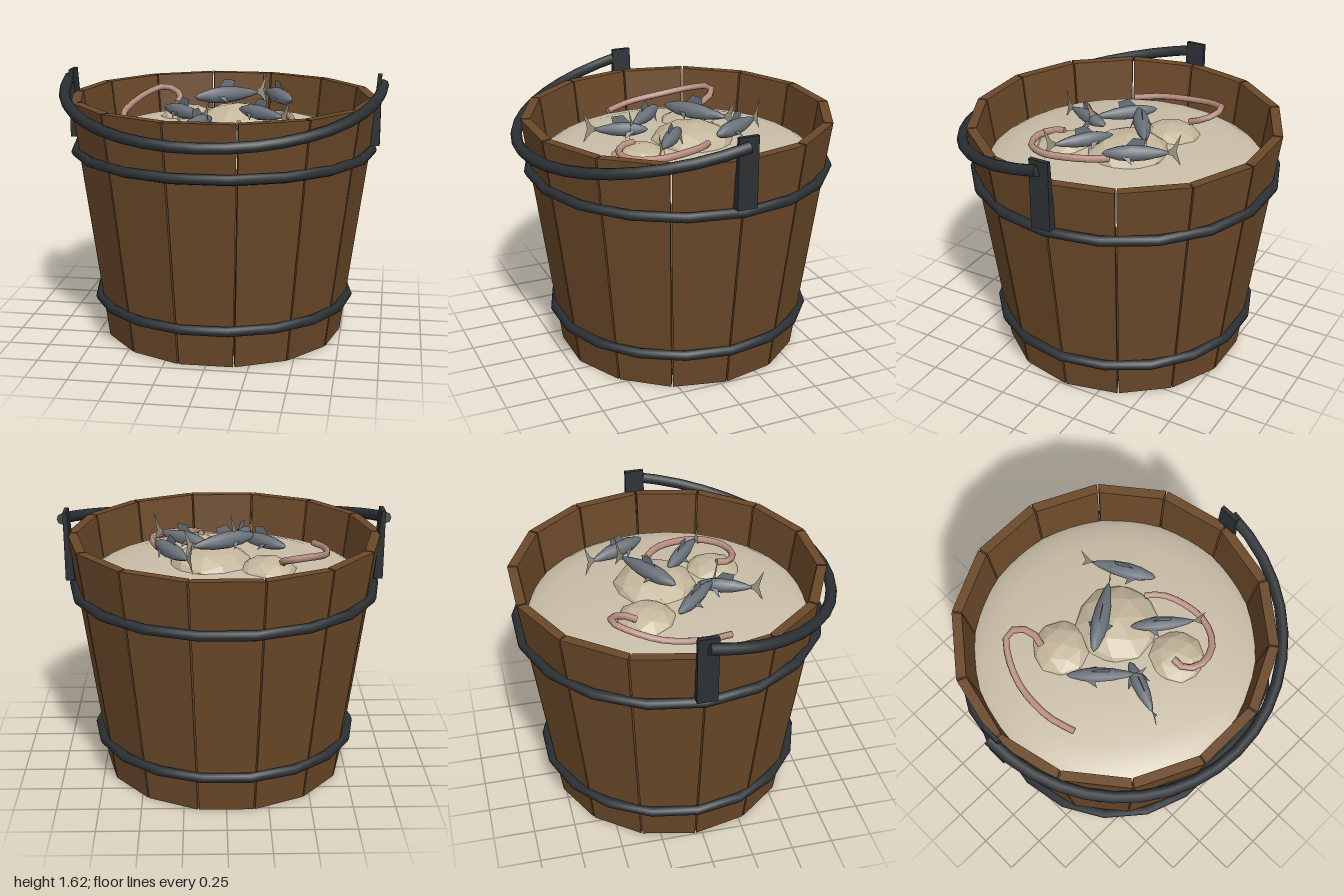
import * as THREE from 'three';

const CZ = -0.04; // bucket axis
const HEIGHT = 1.48;
const STAVES = 14;

const material = (color, extra = {}) => new THREE.MeshStandardMaterial({ color, ...extra });
const wood = material(0x6b4929, { flatShading: true });
const darkWood = material(0x4a321e, { flatShading: true });
const iron = material(0x2b3034);
const mash = material(0xc9bea8, { side: THREE.DoubleSide });
const lumpMat = material(0xc4b79c, { flatShading: true });
const fishMat = material(0x6c737b);
const finMat = material(0x6c737b, { side: THREE.DoubleSide });
const tailMat = material(0x9c9382, { side: THREE.DoubleSide });
const wormMat = material(0xb98f80);

function add(parent, name, geometry, mat) {
  const mesh = new THREE.Mesh(geometry, mat);
  mesh.name = name;
  parent.add(mesh);
  return mesh;
}

// Moves every vertex of a geometry by a rule
function reshape(geometry, rule) {
  const p = geometry.attributes.position;
  const v = new THREE.Vector3();
  for (let i = 0; i < p.count; i++) {
    v.fromBufferAttribute(p, i);
    rule(v);
    p.setXYZ(i, v.x, v.y, v.z);
  }
  geometry.computeVertexNormals();
  return geometry;
}

// Plank that leans outwards and widens to the top
function staveGeometry() {
  return reshape(new THREE.BoxGeometry(1, 1, 1), (v) => {
    const t = v.y + 0.5;
    const r = THREE.MathUtils.lerp(0.725, 0.918, t) - (v.z < 0 ? 0.057 : 0);
    v.set(Math.sign(v.x) * (r * Math.tan(Math.PI / STAVES) - 0.005), t * HEIGHT, r);
  });
}

// Tube along a smooth curve, closed with a cap at both ends
function cappedTube(parent, name, points, segments, radius, sides, mat) {
  const curve = new THREE.CatmullRomCurve3(points);
  const group = new THREE.Group();
  group.name = name;
  add(group, name + 'Body', new THREE.TubeGeometry(curve, segments, radius, sides), mat);
  for (const t of [0, 1]) {
    const cap = add(group, name + 'End', new THREE.CircleGeometry(radius, sides), mat);
    const out = curve.getTangentAt(t).multiplyScalar(t ? 1 : -1);
    cap.position.copy(curve.getPointAt(t));
    cap.quaternion.setFromUnitVectors(new THREE.Vector3(0, 0, 1), out);
  }
  parent.add(group);
}

// Flat fin in the upright plane of a fish
function fin(parent, name, points, mat) {
  const shape = new THREE.Shape(points.map(([x, y]) => new THREE.Vector2(x, y)));
  return add(parent, name, new THREE.ShapeGeometry(shape), mat);
}

// Spindle-shaped fish from nose to tail, given on the ground plan
function fish([x0, z0], [x1, z1], y, radius) {
  const group = new THREE.Group();
  group.name = 'fish';
  const length = Math.hypot(x1 - x0, z1 - z0);
  const h = length / 2;
  const profile = [[0, -1], [0.4, -0.88], [0.85, -0.5], [1, -0.1], [0.85, 0.35], [0.45, 0.8], [0.15, 1], [0, 1]]
    .map(([r, t]) => new THREE.Vector2(r * radius, t * h));
  const body = add(group, 'fishBody', new THREE.LatheGeometry(profile, 8), fishMat);
  body.rotation.z = -Math.PI / 2;
  fin(group, 'tailFin', [[h - 0.03, 0], [h + 0.02, 0.03], [h + 0.07, 0.12], [h + 0.045, 0.01],
    [h + 0.07, -0.08], [h + 0.02, -0.02]], tailMat);
  fin(group, 'backFin', [[-0.06, radius * 0.8], [-0.01, radius + 0.045], [0.06, radius + 0.035],
    [0.05, radius * 0.8]], finMat);
  for (const side of [-1, 1]) {
    const f = fin(group, 'sideFin', [[-0.08, 0], [-0.02, -0.05], [-0.03, 0]], finMat);
    f.position.z = side * radius * 0.85;
    f.rotation.x = -side * 0.6;
  }
  group.position.set((x0 + x1) / 2, y, (z0 + z1) / 2);
  group.rotation.y = -Math.atan2(z1 - z0, x1 - x0);
  return group;
}

export function createModel() {
  const model = new THREE.Group();
  model.name = 'bucket';

  // Ring of staves and recessed floor
  const staves = new THREE.Group();
  staves.name = 'staves';
  staves.position.z = CZ;
  const stave = staveGeometry();
  for (let i = 0; i < STAVES; i++) {
    add(staves, 'stave', stave, wood).rotation.y = (i / STAVES) * Math.PI * 2;
  }
  model.add(staves);
  const floor = add(model, 'floor', new THREE.CylinderGeometry(0.695, 0.69, 0.04, STAVES), darkWood);
  floor.position.set(0, 0.07, CZ);
  floor.rotation.y = Math.PI / STAVES;

  // Iron hoops
  for (const [name, y, r] of [['lowerHoop', 0.235, 0.783], ['upperHoop', 1.165, 0.908]]) {
    const hoop = add(model, name, new THREE.TorusGeometry(r, 0.031, 8, 18), iron);
    hoop.rotation.x = Math.PI / 2;
    hoop.position.set(0, y, CZ);
  }

  // Handle brackets, thicker at the foot to meet the leaning wall
  for (const side of [-1, 1]) {
    const bracket = reshape(new THREE.BoxGeometry(0.025, 0.42, 0.12), (v) => {
      if (v.x * side < 0 && v.y < 0) v.x -= side * 0.03;
    });
    add(model, side > 0 ? 'leftBracket' : 'rightBracket', bracket, iron)
      .position.set(side * 0.943, 1.41, CZ);
  }

  // Handle: a half ring resting on the front rim
  const handlePath = [];
  for (let i = 0; i <= 16; i++) {
    const a = (i / 16) * Math.PI;
    const s = Math.sin(a);
    handlePath.push(new THREE.Vector3(0.965 * Math.cos(a), 1.565 - 0.21 * s, CZ + 0.97 * s));
  }
  cappedTube(model, 'handle', handlePath, 20, 0.034, 8, iron);

  // Domed mash filling
  const dome = [[0.835, 1.21], [0.78, 1.245], [0.65, 1.28], [0.4, 1.31], [0.2, 1.32], [0, 1.32]]
    .map(([r, y]) => new THREE.Vector2(r, y));
  add(model, 'filling', new THREE.LatheGeometry(dome, 28), mash).position.z = CZ;

  // Faceted lumps
  for (const [x, y, z, r, h, turn] of [
    [0.08, 1.28, -0.1, 0.265, 0.14, 0.3],
    [-0.25, 1.27, -0.22, 0.19, 0.11, 1.1],
    [0.18, 1.27, 0.28, 0.18, 0.1, 2.0],
  ]) {
    const lump = add(model, 'lump', new THREE.IcosahedronGeometry(1, 1), lumpMat);
    lump.scale.set(r, h, r * 0.97);
    lump.rotation.y = turn;
    lump.position.set(x, y, z);
  }

  // Fish: nose, tail, height, girth
  model.add(
    fish([-0.18, -0.03], [0.18, -0.27], 1.46, 0.052),
    fish([0.41, -0.11], [0.22, -0.44], 1.44, 0.05),
    fish([0.1, -0.01], [0.38, 0.22], 1.4, 0.045),
    fish([-0.37, -0.06], [-0.09, 0.21], 1.39, 0.045),
    fish([-0.05, 0.13], [-0.17, 0.43], 1.365, 0.045),
  );

  // Worms
  const worms = [
    [[-0.56, 1.335, 0.2], [-0.61, 1.36, 0.03], [-0.6, 1.39, -0.2], [-0.53, 1.43, -0.37],
      [-0.45, 1.45, -0.46], [-0.37, 1.43, -0.44], [-0.33, 1.4, -0.37], [-0.34, 1.37, -0.3]],
    [[0.14, 1.37, 0.3], [0.15, 1.36, 0.38], [0.25, 1.35, 0.43], [0.37, 1.35, 0.39],
      [0.44, 1.36, 0.26], [0.43, 1.37, 0.1], [0.38, 1.37, -0.03], [0.31, 1.36, -0.1]],
  ];
  for (const w of worms) {
    cappedTube(model, 'worm', w.map((p) => new THREE.Vector3(...p)), 14, 0.021, 6, wormMat);
  }
  return model;
}
